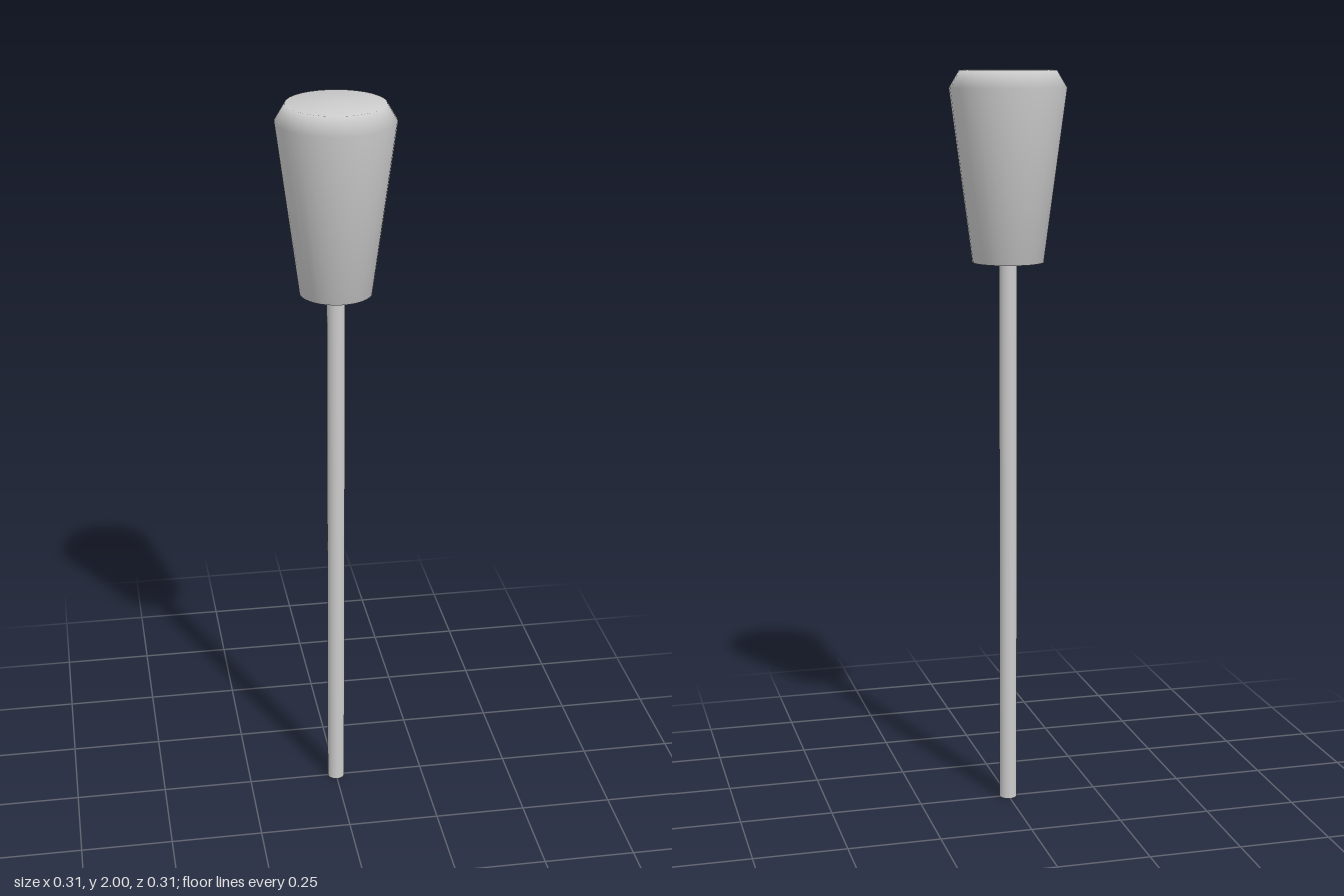
import * as THREE from 'three';

export function createModel() {
  const group = new THREE.Group();
  const material = new THREE.MeshStandardMaterial({ color: 0xcccccc });

  // Tapered head with a chamfered top rim, softly shaded all over
  const profile = [
    [0, 1.5], [0.095, 1.5], [0.155, 1.955], [0.128, 2], [0, 2],
  ].map(([r, y]) => new THREE.Vector2(r, y));
  const head = new THREE.Mesh(new THREE.LatheGeometry(profile, 32), material);
  head.name = 'head';

  // Thin straight shaft, running slightly into the head
  const shaftHeight = 1.52;
  const shaft = new THREE.Mesh(
    new THREE.CylinderGeometry(0.024, 0.024, shaftHeight, 32), material);
  shaft.position.y = shaftHeight / 2;
  shaft.name = 'shaft';

  group.add(head, shaft);
  return group;
}
